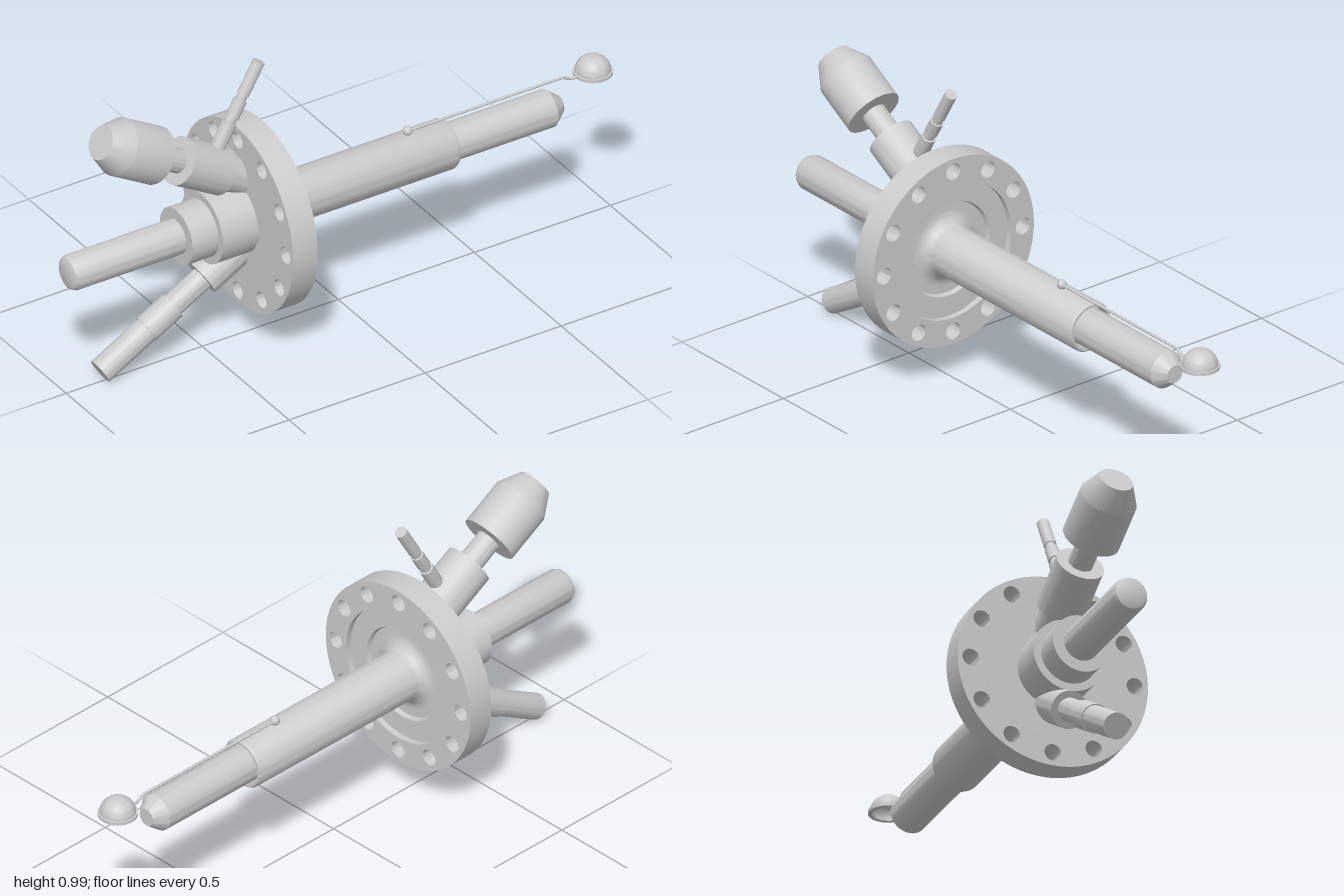
import * as THREE from 'three';
import { toCreasedNormals } from 'three/addons/utils/BufferGeometryUtils.js';

const material = new THREE.MeshStandardMaterial({ color: 0xcccccc });
const AXIS_Y = 0.45;

function addMesh(parent, name, geometry) {
  const mesh = new THREE.Mesh(geometry, material);
  mesh.name = name;
  parent.add(mesh);
  return mesh;
}

// Turned part from [radius, position] pairs along +y, with sharp steps.
function turned(profile, segments = 48) {
  const points = profile.map(([r, y]) => new THREE.Vector2(r, y));
  return toCreasedNormals(new THREE.LatheGeometry(points, segments), 0.5);
}

// Turned part laid along a direction in the xy plane.
function addTurned(parent, name, profile, x, y, degrees, segments) {
  const mesh = addMesh(parent, name, turned(profile, segments));
  mesh.position.set(x, y, 0);
  mesh.rotation.z = THREE.MathUtils.degToRad(degrees - 90);
  return mesh;
}

// Stepped solid from [radius, start, end] sections.
function steps(sections) {
  const profile = [[0, sections[0][1]]];
  for (const [r, a, b] of sections) profile.push([r, a], [r, b]);
  profile.push([0, sections[sections.length - 1][2]]);
  return profile;
}

export function createModel() {
  const model = new THREE.Group();
  model.name = 'flangedFeedthrough';

  // Flange ring with twelve bolt holes
  const ring = new THREE.Shape().absarc(0, 0, 0.32, 0, Math.PI * 2, false);
  ring.holes.push(new THREE.Path().absarc(0, 0, 0.23, 0, Math.PI * 2, true));
  for (let i = 0; i < 12; i++) {
    const a = (i * Math.PI) / 6;
    ring.holes.push(new THREE.Path().absarc(
      0.276 * Math.cos(a), 0.276 * Math.sin(a), 0.028, 0, Math.PI * 2, true));
  }
  const ringGeometry = new THREE.ExtrudeGeometry(ring, {
    depth: 0.09, bevelEnabled: false, curveSegments: 64,
  });
  const flange = addMesh(model, 'boltFlange', toCreasedNormals(ringGeometry, 0.5));
  flange.rotation.y = Math.PI / 2;
  flange.position.set(-0.37, AXIS_Y, 0);

  // Recessed flange centre flowing through a fillet into the main tube
  const body = [[0, -0.37], [0.23, -0.37], [0.23, -0.3], [0.16, -0.3], [0.155, -0.315]];
  for (let i = 0; i <= 8; i++) {
    const a = (i / 8) * Math.PI / 2;
    body.push([0.128 - 0.045 * Math.sin(a), -0.27 - 0.045 * Math.cos(a)]);
  }
  body.push([0.083, 0.39], [0.078, 0.4], [0.07, 0.4], [0.07, 0.36], [0, 0.36]);
  addTurned(model, 'mainTube', body, 0, AXIS_Y, 0, 64);

  // Inner rod with a tapered tip
  addTurned(model, 'frontRod',
    [[0, 0.3], [0.062, 0.3], [0.062, 0.77], [0.03, 0.812], [0, 0.812]], 0, AXIS_Y, 0);

  // Stepped hub and rear rod
  addTurned(model, 'rearHub',
    steps([[0.095, -0.595, -0.5], [0.12, -0.5, -0.365]]), 0, AXIS_Y, 0);
  addTurned(model, 'rearRod',
    [[0, -1], [0.04, -1], [0.052, -0.994], [0.058, -0.98], [0.058, -0.59], [0, -0.59]],
    0, AXIS_Y, 0);

  // Upper slanted port: neck, collar, stem and knob
  const upper = new THREE.Group();
  upper.name = 'upperPort';
  model.add(upper);
  addTurned(upper, 'upperCollar', steps([
    [0.06, -0.03, 0.077], [0.078, 0.077, 0.257], [0.04, 0.257, 0.365],
  ]), -0.365, 0.597, 150);
  addTurned(upper, 'knob', [
    [0, 0.357], [0.093, 0.357], [0.093, 0.515], [0.055, 0.587], [0, 0.587],
  ], -0.365, 0.597, 150);

  // Thin side pipe on the upper collar
  addTurned(upper, 'sidePipe', steps([
    [0.024, -0.02, 0.09], [0.018, 0.09, 0.11], [0.022, 0.11, 0.17],
    [0.017, 0.17, 0.19], [0.02, 0.19, 0.307],
  ]), -0.445, 0.724, 60, 24);

  // Lower slanted port with sleeve
  addTurned(model, 'lowerPort', steps([
    [0.06, -0.015, 0.156], [0.038, 0.156, 0.283],
    [0.046, 0.283, 0.393], [0.042, 0.393, 0.588],
  ]), -0.365, 0.342, 210);

  // Wire arm with its pivot ball
  const pivot = addMesh(model, 'pivotBall', new THREE.SphereGeometry(0.016, 20, 14));
  pivot.position.set(0.255, 0.545, 0);
  const path = new THREE.CurvePath();
  const bends = [[0.255, 0.544], [0.825, 0.544], [0.855, 0.528], [0.88, 0.528]]
    .map(([x, y]) => new THREE.Vector3(x, y, 0));
  for (let i = 1; i < bends.length; i++) path.add(new THREE.LineCurve3(bends[i - 1], bends[i]));
  addMesh(model, 'wireArm', new THREE.TubeGeometry(path, 80, 0.005, 10));

  // Hollow dome with a rim at the end of the arm
  const dome = [[0.05, 0], [0.063, 0], [0.063, 0.01], [0.057, 0.01]];
  for (let i = 1; i <= 12; i++) {
    const a = (i / 12) * Math.PI / 2;
    dome.push([0.057 * Math.cos(a), 0.01 + 0.052 * Math.sin(a)]);
  }
  for (let i = 12; i >= 0; i--) {
    const a = (i / 12) * Math.PI / 2;
    dome.push([0.05 * Math.cos(a), 0.01 + 0.045 * Math.sin(a)]);
  }
  dome.push([0.05, 0]);
  addMesh(model, 'domeCup', turned(dome)).position.set(0.936, 0.524, 0);

  return model;
}
